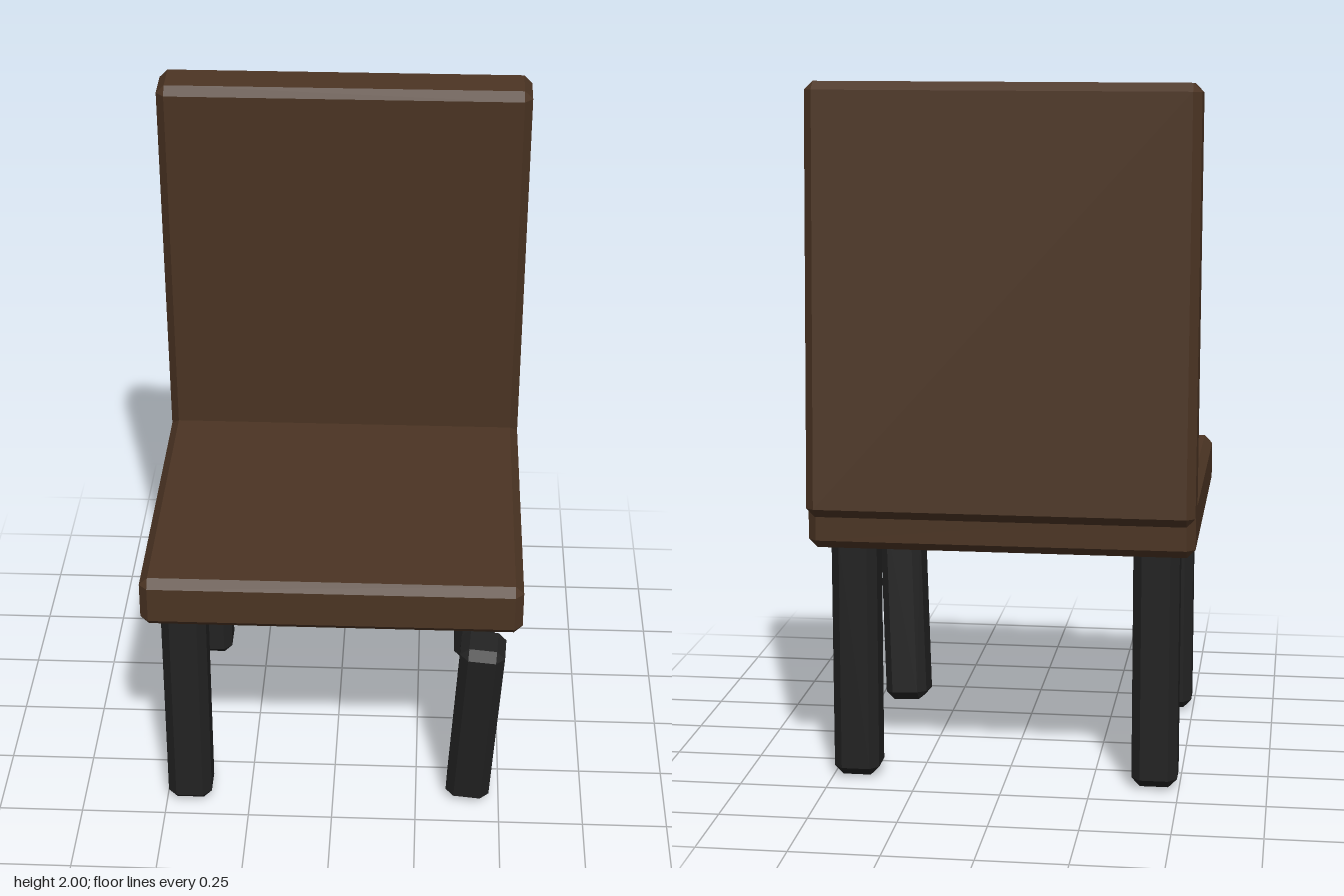
import * as THREE from 'three';
import { ConvexGeometry } from 'three/addons/geometries/ConvexGeometry.js';

// Box whose edges and corners are cut by a chamfer of size c
function chamferBox(w, h, d, c) {
  const points = [];
  for (const sx of [-1, 1]) for (const sy of [-1, 1]) for (const sz of [-1, 1]) {
    const x = w / 2, y = h / 2, z = d / 2;
    points.push(
      new THREE.Vector3(sx * x, sy * (y - c), sz * (z - c)),
      new THREE.Vector3(sx * (x - c), sy * y, sz * (z - c)),
      new THREE.Vector3(sx * (x - c), sy * (y - c), sz * z)
    );
  }
  return new ConvexGeometry(points);
}

export function createModel() {
  const model = new THREE.Group();
  model.name = 'brokenChair';

  const wood = new THREE.MeshStandardMaterial({ color: 0x4b3423 });
  wood.name = 'brownWood';
  const black = new THREE.MeshStandardMaterial({ color: 0x222222 });
  black.name = 'blackLeg';

  const add = (name, size, chamfer, material, position, rotation = [0, 0, 0]) => {
    const mesh = new THREE.Mesh(chamferBox(...size, chamfer), material);
    mesh.name = name;
    mesh.position.set(...position);
    mesh.rotation.set(...rotation);
    model.add(mesh);
  };

  // Seat and slightly tilted backrest
  add('seat', [1.085, 0.155, 1.03], 0.024, wood, [0, 0.78, 0.015]);
  add('backrest', [1.085, 1.205, 0.155], 0.024, wood, [0, 1.395, -0.422], [0.053, 0, 0]);

  // Three standing legs
  const legs = { frontRightLeg: [-0.43, 0.39], backRightLeg: [-0.43, -0.357], backLeftLeg: [0.43, -0.357] };
  for (const [name, [x, z]] of Object.entries(legs)) {
    add(name, [0.13, 0.72, 0.13], 0.025, black, [x, 0.37, z]);
  }

  // Loose leg, fallen short of the seat and leaning
  add('looseFrontLeftLeg', [0.13, 0.61, 0.13], 0.025, black, [0.422, 0.312, 0.39], [0.127, -0.06, -0.052]);

  return model;
}
